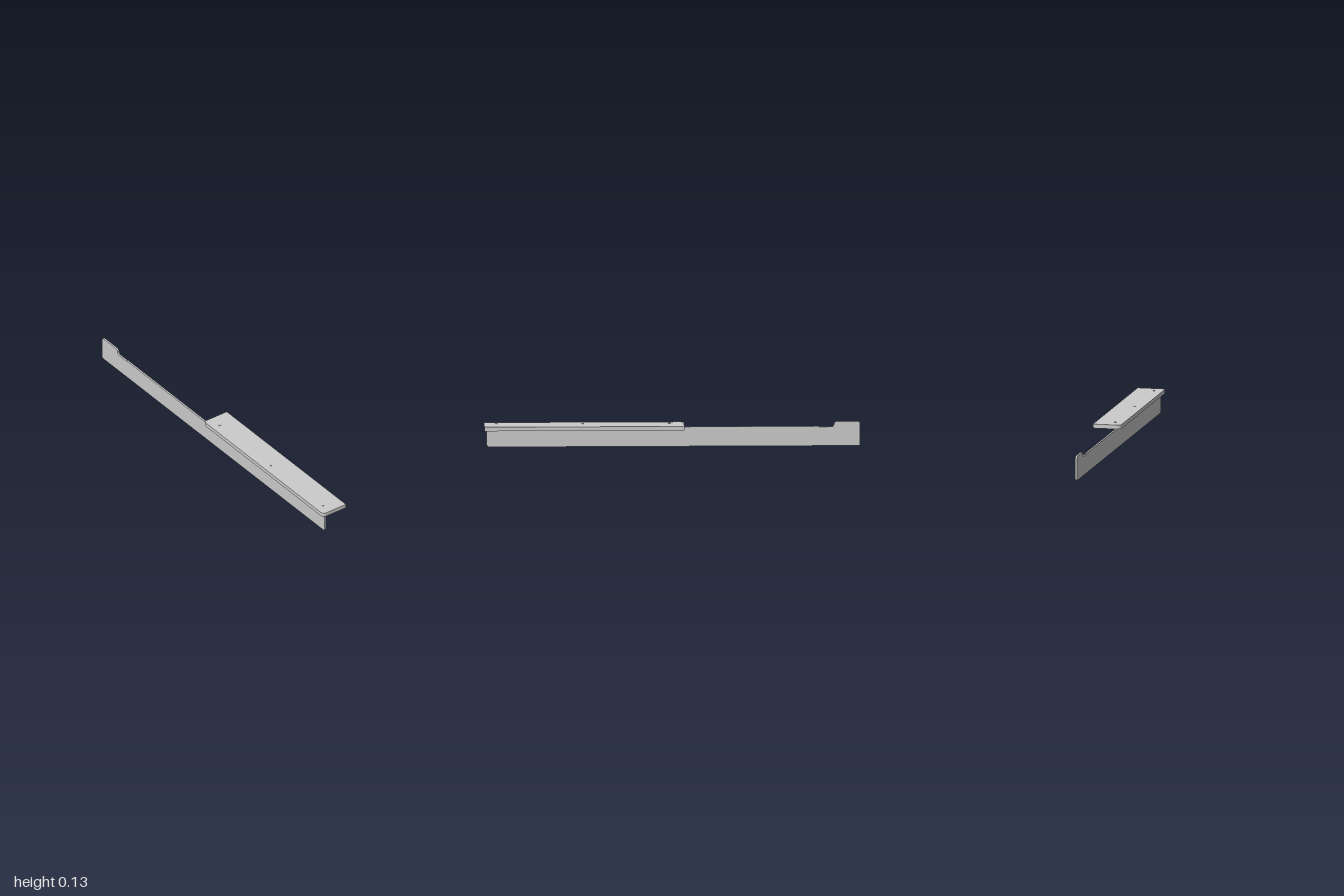
import * as THREE from 'three';

const material = new THREE.MeshStandardMaterial({ color: 0xcccccc });

// Closed outline from [x, y, cornerRadius] points
function roundedOutline(points) {
  const shape = new THREE.Shape();
  const n = points.length;
  points.forEach(([x, y, r], i) => {
    const corner = new THREE.Vector2(x, y);
    const toward = ([px, py]) =>
      new THREE.Vector2(px, py).sub(corner).setLength(r).add(corner);
    const a = toward(points[(i + n - 1) % n]);
    const b = toward(points[(i + 1) % n]);
    if (i === 0) shape.moveTo(a.x, a.y);
    else shape.lineTo(a.x, a.y);
    if (r > 0) shape.quadraticCurveTo(corner.x, corner.y, b.x, b.y);
  });
  shape.closePath();
  return shape;
}

function extrude(points, depth) {
  return new THREE.ExtrudeGeometry(roundedOutline(points), {
    depth, bevelEnabled: false, curveSegments: 8,
  });
}

function addPart(group, name, geometry) {
  const mesh = new THREE.Mesh(geometry, material);
  mesh.name = name;
  group.add(mesh);
  return mesh;
}

export function createModel() {
  const group = new THREE.Group();
  group.name = 'railWithPlate';

  // Upright rail: side profile in (z, y) with a raised stop at the back
  const rail = extrude([
    [-1, 0, 0.012],
    [0.985, 0, 0.015],
    [0.985, 0.105, 0],
    [-0.78, 0.105, 0],
    [-0.78, 0.102, 0],
    [-0.857, 0.102, 0.01],
    [-0.865, 0.131, 0.015],
    [-1, 0.131, 0.015],
  ], 0.01);
  rail.rotateY(-Math.PI / 2).translate(-0.044, 0, 0);
  addPart(group, 'uprightRail', rail);

  // Flat plate: rounded corners on the rail side only
  const plate = extrude([
    [-0.076, -0.063, 0.024],
    [0.076, -0.063, 0],
    [0.076, 1, 0],
    [-0.076, 1, 0.024],
  ], 0.022);
  plate.rotateX(Math.PI / 2).translate(0, 0.127, 0);
  addPart(group, 'topPlate', plate);

  // Three low fastener heads along the plate
  [0.015, 0.475, 0.935].forEach((z) => {
    const head = addPart(group, 'fastenerHead',
      new THREE.CylinderGeometry(0.006, 0.006, 0.004, 20));
    head.position.set(-0.028, 0.127, z);
  });

  return group;
}
